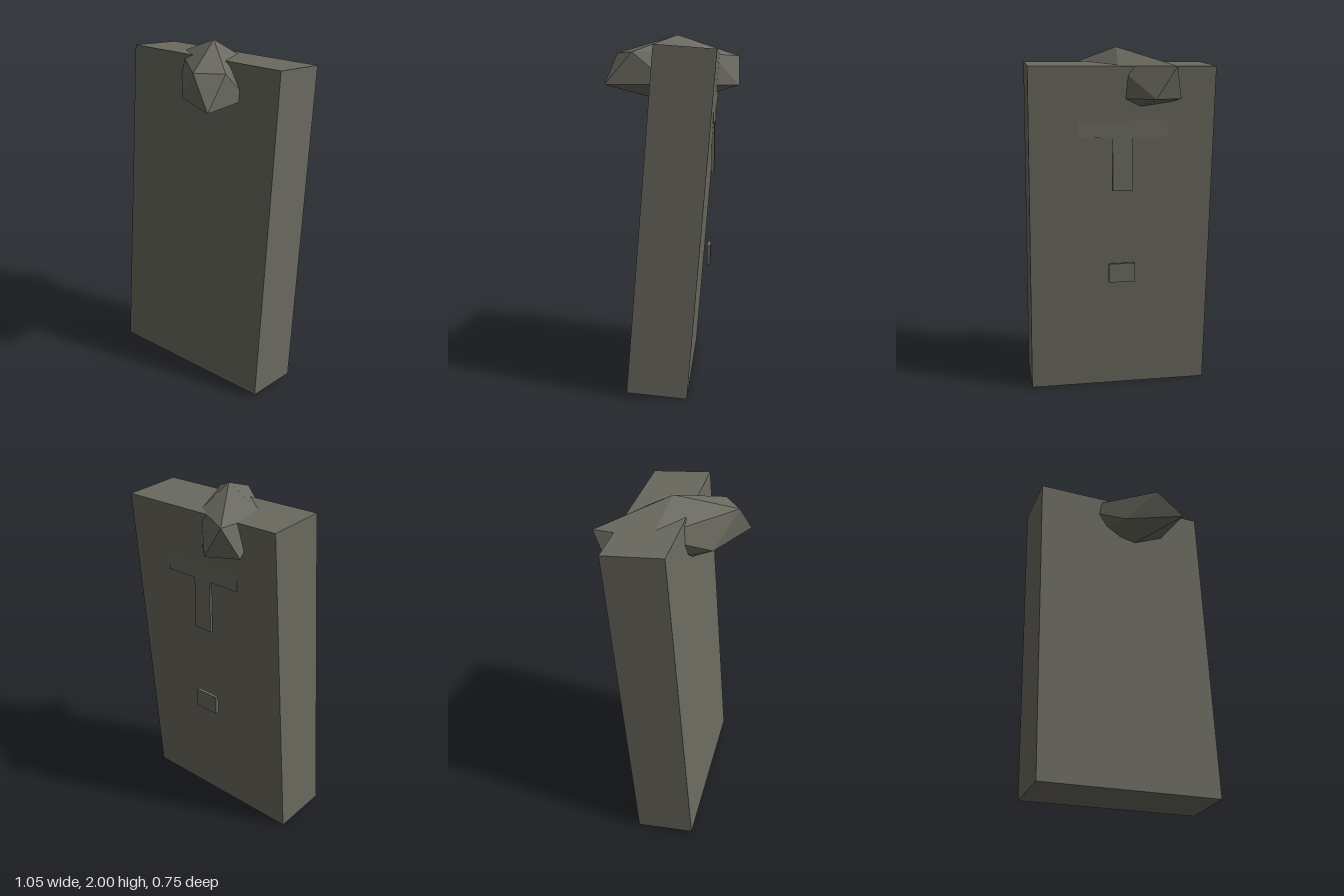
import * as THREE from 'three';

export function createModel() {
  const model = new THREE.Group();
  const stone = new THREE.MeshStandardMaterial({ color: 0x6b6a60 });
  stone.name = 'weathered stone';

  function addBox(name, size, position, tilt = 0) {
    const mesh = new THREE.Mesh(new THREE.BoxGeometry(...size), stone);
    mesh.name = name;
    mesh.position.set(...position);
    mesh.rotation.x = tilt;
    model.add(mesh);
  }

  // Slab leaning backwards
  addBox('slab', [1.05, 1.895, 0.334], [0, 0.96, -0.0125], -0.0805);

  // Upright raised pieces on the back
  addBox('crossArm', [0.51, 0.1, 0.016], [0, 1.55, -0.223]);
  addBox('crossStem', [0.116, 0.4, 0.016], [0, 1.4, -0.223]);
  addBox('backBlock', [0.154, 0.11, 0.02], [0, 0.715, -0.202]);

  // Faceted rock through the top edge: two rings of five between two tips
  const upper = [[-0.272, -0.373], [0.025, -0.205], [0.28, 0.22], [0.145, 0.32], [-0.285, -0.052]]
    .map(([x, z]) => [x, 1.89, z]);
  const lower = [[-0.157, -0.373], [0.26, 0.01], [0.288, 0.372], [-0.03, 0.215], [-0.32, -0.28]]
    .map(([x, z]) => [x, 1.713, z]);
  const top = [0, 2, -0.012];
  const bottom = [0, 1.6, -0.01];
  const corners = [];
  for (let i = 0; i < 5; i++) {
    const j = (i + 1) % 5;
    corners.push(top, upper[j], upper[i]);
    corners.push(upper[i], upper[j], lower[i]);
    corners.push(lower[i], upper[j], lower[j]);
    corners.push(lower[i], lower[j], bottom);
  }
  const geometry = new THREE.BufferGeometry();
  geometry.setAttribute('position', new THREE.Float32BufferAttribute(corners.flat(), 3));
  geometry.computeVertexNormals();
  const rock = new THREE.Mesh(geometry, stone);
  rock.name = 'rock';
  model.add(rock);

  return model;
}
